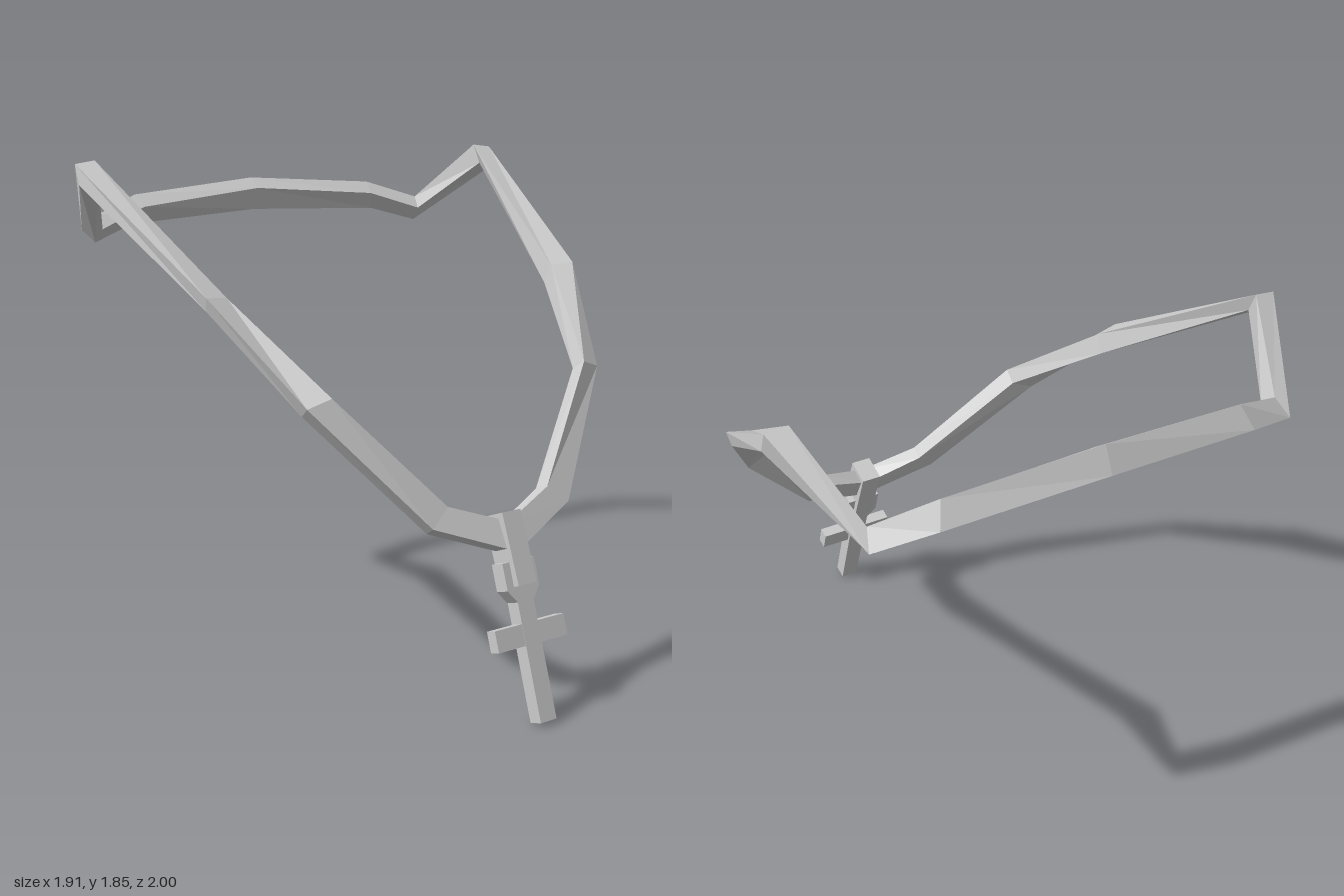
import * as THREE from 'three';

const material = new THREE.MeshStandardMaterial({ color: 0xcccccc, flatShading: true });

// Four-cornered cross-sections of the band, from the front centre round the left side to the back centre
const SECTIONS = [
  [[0, 0.67, 0.77], [0, 0.575, 0.82], [0, 0.55, 0.76], [0, 0.64, 0.71]],
  [[0.22, 0.745, 0.71], [0.3, 0.685, 0.735], [0.29, 0.655, 0.685], [0.215, 0.725, 0.655]],
  [[0.555, 1.125, 0.515], [0.64, 1.095, 0.495], [0.63, 1.06, 0.445], [0.55, 1.09, 0.46]],
  [[0.725, 1.425, 0.125], [0.815, 1.435, 0.145], [0.805, 1.385, 0.125], [0.715, 1.355, 0.095]],
  [[0.875, 1.855, -0.57], [0.955, 1.845, -0.565], [0.955, 1.77, -0.535], [0.88, 1.78, -0.535]],
  [[0.765, 1.62, -0.845], [0.79, 1.565, -0.905], [0.76, 1.52, -0.85], [0.75, 1.575, -0.8]],
  [[0.555, 1.69, -0.915], [0.585, 1.61, -0.965], [0.575, 1.575, -0.91], [0.54, 1.645, -0.86]],
  [[0, 1.73, -0.955], [0, 1.64, -1], [0, 1.6, -0.94], [0, 1.69, -0.9]],
];

// Closed band skinned through the sections and their mirror images
function bandGeometry() {
  const mirrored = SECTIONS.slice(1, -1).reverse().map(s => s.map(([x, y, z]) => [-x, y, z]));
  const rings = [...SECTIONS, ...mirrored];
  const index = [];
  rings.forEach((_, i) => {
    const next = (i + 1) % rings.length;
    for (let j = 0; j < 4; j++) {
      const k = (j + 1) % 4;
      const a = i * 4 + j, b = i * 4 + k, c = next * 4 + k, d = next * 4 + j;
      index.push(a, b, c, a, c, d);
    }
  });
  const geometry = new THREE.BufferGeometry();
  geometry.setAttribute('position', new THREE.Float32BufferAttribute(rings.flat(2), 3));
  geometry.setIndex(index);
  const flat = geometry.toNonIndexed();
  flat.computeVertexNormals();
  return flat;
}

function addMesh(parent, name, geometry, y = 0, z = 0) {
  const mesh = new THREE.Mesh(geometry, material);
  mesh.name = name;
  mesh.position.set(0, y, z);
  parent.add(mesh);
  return mesh;
}

export function createModel() {
  const model = new THREE.Group();
  model.name = 'necklace';

  addMesh(model, 'neckBand', bandGeometry());

  // Bail wrapped round the front of the band
  const bail = addMesh(model, 'bail', new THREE.BoxGeometry(0.08, 0.255, 0.105), 0.573, 0.778);
  bail.rotation.x = -0.385;

  // Pendant leaning back from its foot
  const pendant = new THREE.Group();
  pendant.name = 'crossPendant';
  pendant.position.set(0, 0.01, 0.973);
  pendant.rotation.x = -0.33;
  model.add(pendant);
  addMesh(pendant, 'uprightBar', new THREE.BoxGeometry(0.07, 0.47, 0.057), 0.235);
  addMesh(pendant, 'crossBar', new THREE.BoxGeometry(0.305, 0.075, 0.045), 0.303, 0.005);

  // Connector tapering down to the upright
  const outline = [[0.07, 0.555], [-0.07, 0.555], [-0.07, 0.46], [-0.035, 0.415], [0.035, 0.415], [0.07, 0.46]];
  const shape = new THREE.Shape(outline.map(([x, y]) => new THREE.Vector2(x, y)));
  addMesh(pendant, 'connector', new THREE.ExtrudeGeometry(shape, { depth: 0.06, bevelEnabled: false }), 0, -0.03);

  return model;
}
